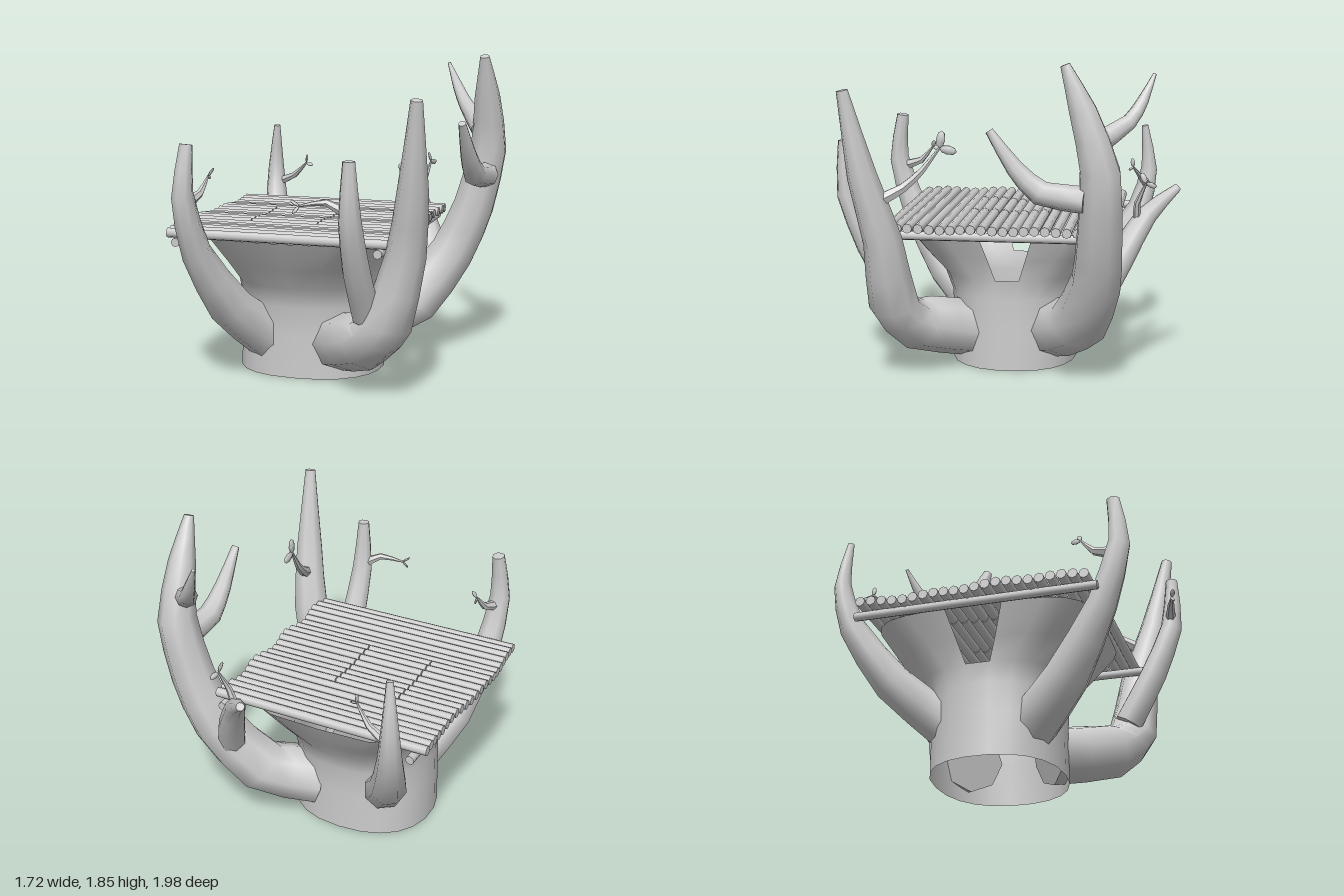
import * as THREE from 'three';
import { toCreasedNormals } from 'three/addons/utils/BufferGeometryUtils.js';

const mat = new THREE.MeshStandardMaterial({ color: 0xcccccc });
const thin = new THREE.MeshStandardMaterial({ color: 0xcccccc, side: THREE.DoubleSide });

function part(parent, name, geometry, material = mat) {
  const mesh = new THREE.Mesh(geometry, material);
  mesh.name = name;
  parent.add(mesh);
  return mesh;
}

// Tapered, capped limb through points given as [x, y, z, radius]
function limb(parent, name, pts, steps = 2, sides = 8) {
  const points = pts.map(p => new THREE.Vector3(p[0], p[1], p[2]));
  const curve = new THREE.CatmullRomCurve3(points, false, 'catmullrom', 0.3);
  const n = (pts.length - 1) * steps + 2;
  const geo = new THREE.TubeGeometry(curve, n, 1, sides);
  const pos = geo.attributes.position, nor = geo.attributes.normal;
  for (let i = 0; i <= n; i++) {
    const t = Math.min(1, Math.max(0, (i - 1) / (n - 2)));
    const c = curve.getPoint(t);
    const f = t * (pts.length - 1);
    const k = Math.min(pts.length - 2, Math.floor(f));
    const r = i === 0 || i === n ? 0 : THREE.MathUtils.lerp(pts[k][3], pts[k + 1][3], f - k);
    for (let j = 0; j <= sides; j++) {
      const v = i * (sides + 1) + j;
      pos.setXYZ(v, c.x + nor.getX(v) * r, c.y + nor.getY(v) * r, c.z + nor.getZ(v) * r);
    }
  }
  return part(parent, name, toCreasedNormals(geo, 0.95));
}

// Flat pointed leaf growing from a point in a direction
function leaf(parent, at, dir, length) {
  const geo = new THREE.SphereGeometry(1, 6, 4);
  geo.scale(length * 0.14, length / 2, length * 0.29).translate(0, length / 2, 0);
  const mesh = part(parent, 'leaf', geo);
  mesh.position.set(...at);
  mesh.quaternion.setFromUnitVectors(new THREE.Vector3(0, 1, 0), new THREE.Vector3(...dir).normalize());
}

// Thin twig with leaves at its tip
function twig(parent, pts, leaves, length) {
  const g = new THREE.Group();
  g.name = 'twig';
  parent.add(g);
  limb(g, 'twigStem', pts, 2, 6);
  leaves.forEach(d => leaf(g, pts[pts.length - 1].slice(0, 3), d, length));
}

// Hollow stump whose front and back walls flare out above a notch on each side
function createTrunk(parent) {
  const notchY = 0.54, half = 11, count = half * 2;
  // y, radiusX, radiusZ, roundness, half angle of the notch
  const levels = [
    [0, 0.428, 0.375, 0.87, 0.13], [0.25, 0.424, 0.372, 0.87, 0.13], [0.42, 0.42, 0.378, 0.87, 0.13],
    [notchY, 0.425, 0.42, 0.82, 0.11], [0.67, 0.46, 0.525, 0.65, 0.09], [0.84, 0.52, 0.63, 0.44, 0.046],
  ];
  const pw = (v, e) => Math.sign(v) * Math.pow(Math.abs(v), e);
  const pos = [], index = [];
  levels.forEach(([y, rx, rz, e, gap], i) => {
    for (let j = 0; j < count; j++) {
      const k = j % half;
      const a = (j < half ? 0 : Math.PI) + THREE.MathUtils.lerp(gap, Math.PI - gap, k / (half - 1));
      pos.push(-0.185 + rx * pw(Math.cos(a), e), y, rz * pw(Math.sin(a), e) - 0.01);
      const notch = k === half - 1 && y > notchY;
      if (i && !notch) {
        const q = i * count + j, q1 = i * count + (j + 1) % count;
        index.push(q - count, q, q1 - count, q1 - count, q, q1);
      }
    }
  });
  const geo = new THREE.BufferGeometry();
  geo.setAttribute('position', new THREE.Float32BufferAttribute(pos, 3));
  geo.setIndex(index);
  geo.computeVertexNormals();
  part(parent, 'trunk', geo, thin);
}

function createPlatform(parent) {
  const g = new THREE.Group();
  g.name = 'platform';
  parent.add(g);
  const log = (name, x0, x1, y, z) => {
    const m = part(g, name, new THREE.CylinderGeometry(0.028, 0.028, x1 - x0, 8));
    m.rotation.z = Math.PI / 2;
    m.position.set((x0 + x1) / 2, y, z);
  };
  for (let i = 0; i < 22; i++) {
    const wobble = Math.sin(i * 12.9), wobble2 = Math.sin(i * 7.3 + 1);
    const x0 = -0.845 + 0.016 * wobble, x1 = 0.465 + 0.014 * wobble2;
    const y = 0.878 + 0.006 * wobble2, z = -0.617 + i * 0.0602;
    // The middle logs are cut to leave a hatch
    if (i >= 7 && i <= 14) {
      log('deckLog', x0, -0.485, y, z);
      log('hatchLog', -0.479, -0.077, y, z);
      log('deckLog', -0.071, x1, y, z);
    } else log('deckLog', x0, x1, y, z);
  }
  for (const x of [-0.765, 0.415]) {
    const beam = part(g, 'supportBeam', new THREE.CylinderGeometry(0.026, 0.026, 1.38, 8));
    beam.rotation.x = Math.PI / 2;
    beam.position.set(x, 0.832, 0.015);
  }
}

export function createModel() {
  const model = new THREE.Group();
  model.name = 'treePlatform';
  createTrunk(model);
  createPlatform(model);
  const branch = name => {
    const g = new THREE.Group();
    g.name = name;
    model.add(g);
    return g;
  };

  // Tallest branch, back left, with three side branches
  const backLeft = branch('backLeftBranch');
  limb(backLeft, 'mainLimb', [
    [0.04, 0.22, -0.24, 0.175], [0.32, 0.32, -0.43, 0.17], [0.54, 0.62, -0.55, 0.145], [0.67, 0.92, -0.575, 0.13],
    [0.755, 1.28, -0.58, 0.115], [0.76, 1.6, -0.485, 0.078], [0.76, 1.84, -0.39, 0.028]]);
  limb(backLeft, 'forwardLimb', [
    [0.76, 1.12, -0.5, 0.075], [0.74, 1.15, -0.26, 0.07], [0.73, 1.28, -0.12, 0.05], [0.72, 1.48, 0.02, 0.023]]);
  limb(backLeft, 'upperLimb', [
    [0.72, 1.4, -0.53, 0.07], [0.58, 1.52, -0.72, 0.045], [0.51, 1.63, -0.79, 0.032], [0.44, 1.77, -0.85, 0.01]]);
  limb(backLeft, 'lowerLimb', [
    [0.44, 0.5, -0.55, 0.085], [0.36, 0.72, -0.67, 0.08], [0.24, 0.95, -0.81, 0.06], [0.1, 1.09, -0.98, 0.024]]);
  twig(backLeft, [[0.27, 0.92, -0.76, 0.025], [0.31, 1.03, -0.76, 0.018], [0.34, 1.15, -0.81, 0.006]],
    [[-0.2, 1, 0.5], [0.2, -0.2, -0.7]], 0.065);

  // Front left branch
  const frontLeft = branch('frontLeftBranch');
  limb(frontLeft, 'mainLimb', [
    [0.03, 0.2, 0.21, 0.17], [0.28, 0.29, 0.5, 0.168], [0.44, 0.43, 0.615, 0.145],
    [0.56, 0.83, 0.65, 0.112], [0.62, 1.2, 0.745, 0.085], [0.66, 1.68, 0.84, 0.033]]);
  limb(frontLeft, 'frontLimb', [
    [0.33, 0.47, 0.62, 0.085], [0.32, 0.75, 0.78, 0.08], [0.32, 1.05, 0.905, 0.065], [0.32, 1.36, 0.92, 0.035]]);
  twig(frontLeft, [[0.6, 1.06, 0.66, 0.04], [0.55, 1.13, 0.53, 0.028], [0.53, 1.22, 0.43, 0.02], [0.51, 1.35, 0.33, 0.008]],
    [[0, 1, -0.15], [0, -0.2, -1]], 0.1);
  twig(frontLeft, [[0.32, 1.07, 0.9, 0.035], [0.2, 1.14, 0.93, 0.02], [0.06, 1.12, 0.96, 0.006]],
    [[-1, 0.7, 0.4], [-0.5, -0.6, 0.2]], 0.055);

  // Front right branch
  const frontRight = branch('frontRightBranch');
  limb(frontRight, 'mainLimb', [
    [-0.39, 0.21, 0.22, 0.148], [-0.53, 0.43, 0.47, 0.128], [-0.64, 0.78, 0.7, 0.087],
    [-0.67, 1.12, 0.81, 0.064], [-0.655, 1.4, 0.78, 0.038]]);
  twig(frontRight, [[-0.66, 1.07, 0.78, 0.035], [-0.63, 1.11, 0.66, 0.022], [-0.61, 1.2, 0.58, 0.006]],
    [[0.5, 0.8, -0.3], [-0.2, -0.3, -1]], 0.055);

  // Back right branch
  const backRight = branch('backRightBranch');
  limb(backRight, 'mainLimb', [
    [-0.4, 0.25, -0.23, 0.125], [-0.57, 0.5, -0.52, 0.108], [-0.675, 0.82, -0.73, 0.075],
    [-0.7, 1.08, -0.79, 0.05], [-0.68, 1.35, -0.76, 0.02]]);
  twig(backRight, [[-0.68, 0.98, -0.78, 0.03], [-0.56, 1.03, -0.75, 0.02], [-0.46, 1.12, -0.7, 0.006]],
    [[0.1, 1, 0.1], [1, -0.3, 0.4]], 0.055);

  return model;
}
